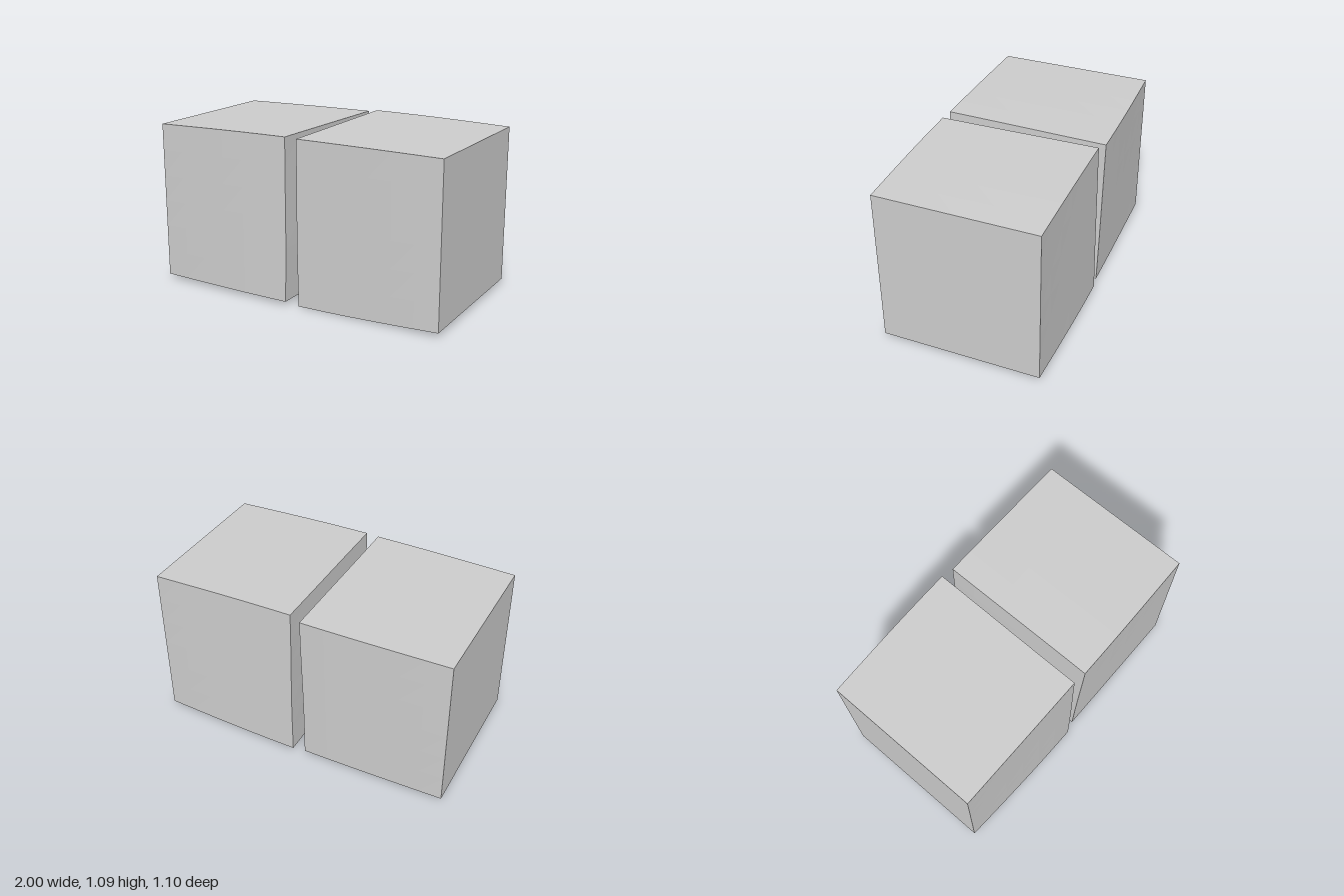
import * as THREE from 'three';

// Square outer end shared by both blocks, corners as [z, y]
const OUTER = { frontTop: [0.52, 1.07], backTop: [-0.525, 1.07], frontBottom: [0.52, 0.028], backBottom: [-0.525, 0.028] };

// A block that swells from its square outer end to a slightly twisted inner end
function block(name, side, inner) {
  const geometry = new THREE.BoxGeometry(1, 1, 1, 6, 6, 6);
  const p = geometry.attributes.position;
  const mix = THREE.MathUtils.lerp;
  for (let i = 0; i < p.count; i++) {
    const along = 0.5 - side * p.getX(i); // 0 at the outer end, 1 at the gap
    const u = p.getY(i) + 0.5;
    const v = p.getZ(i) + 0.5;
    const swell = Math.sin(along * Math.PI / 2);
    const corner = (key, axis) => mix(OUTER[key][axis], inner[key][axis], swell);
    const at = (axis) => mix(
      mix(corner('backBottom', axis), corner('frontBottom', axis), v),
      mix(corner('backTop', axis), corner('frontTop', axis), v), u);
    // the inner face is faintly uneven
    const uneven = 0.003 * Math.sin(u * 5 + v * 3) * along;
    p.setXYZ(i, side * (mix(1, 0.04, along) + uneven), at(1), at(0));
  }
  geometry.computeVertexNormals();
  const mesh = new THREE.Mesh(geometry, new THREE.MeshStandardMaterial({ color: 0xcccccc, flatShading: true }));
  mesh.name = name;
  return mesh;
}

export function createModel() {
  const group = new THREE.Group();
  group.name = 'splitBlock';
  group.add(
    block('leftBlock', 1, {
      frontTop: [0.535, 1.082], backTop: [-0.525, 1.09], frontBottom: [0.52, 0], backBottom: [-0.543, 0.015],
    }),
    block('rightBlock', -1, {
      frontTop: [0.525, 1.084], backTop: [-0.548, 1.075], frontBottom: [0.547, 0.024], backBottom: [-0.53, 0.015],
    }),
  );
  return group;
}
